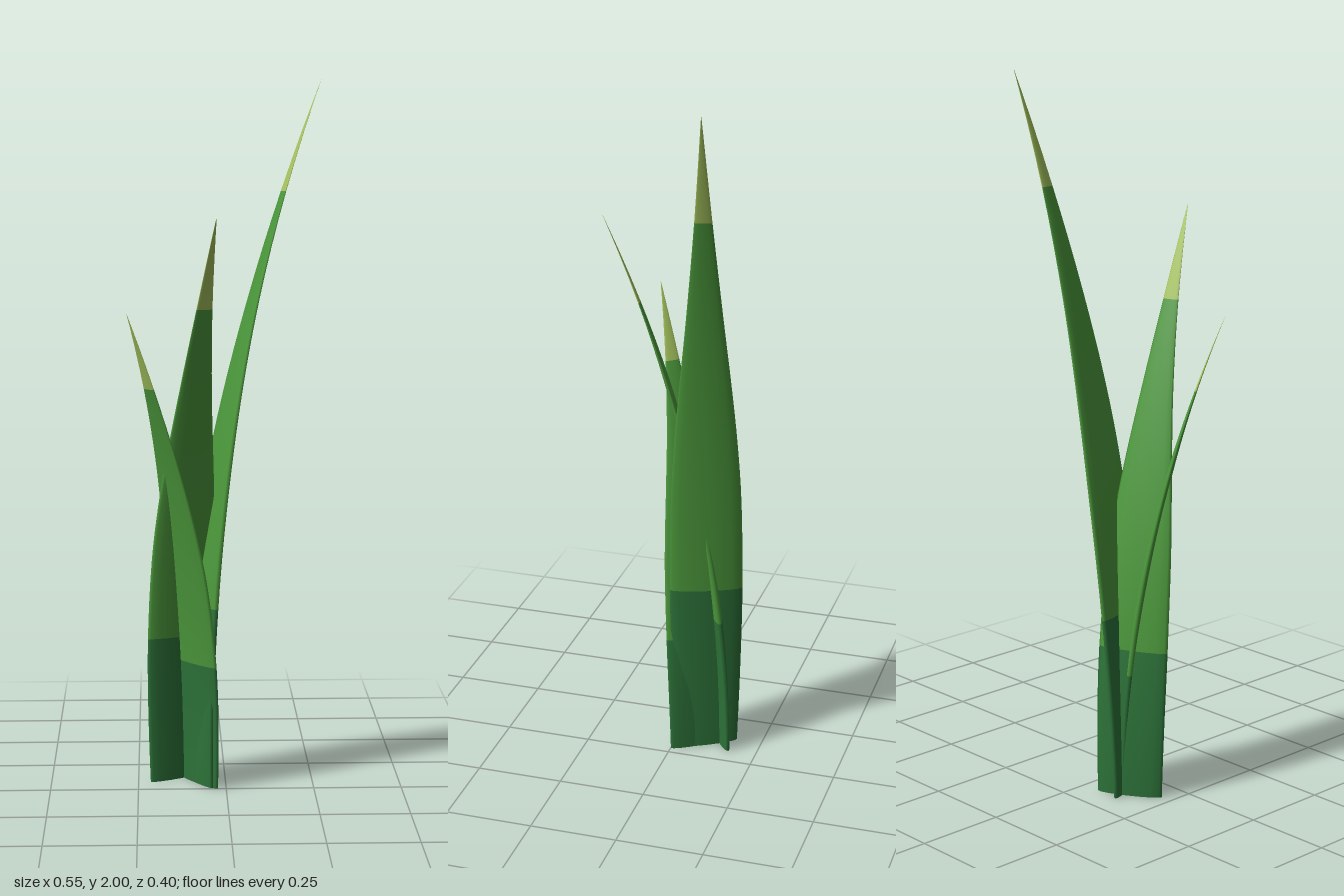
import * as THREE from 'three';

const material = (name, color) => {
  const m = new THREE.MeshStandardMaterial({ color });
  m.name = name;
  return m;
};

// Half width of a blade along its height: (height fraction, half width)
const profile = new THREE.SplineCurve([
  [0, 0.096], [0.13, 0.102], [0.26, 0.105], [0.4, 0.1], [0.5, 0.088],
  [0.6, 0.07], [0.7, 0.05], [0.845, 0.024], [1, 0.0005],
].map(([t, w]) => new THREE.Vector2(t, w)));
const SEGMENTS = 8, STEPS = 4, SIDES = 16;
const SHEATH_ROW = 2 * STEPS, TIP_ROW = 7 * STEPS, ROWS = SEGMENTS * STEPS;

// A lens-shaped blade that bends outward from its base to its tip
function createBlade(name, materials, { base, tip, height, scale, twist }) {
  const dx = tip[0] - base[0], dz = tip[1] - base[1];
  const facing = Math.atan2(dz, dx) + Math.PI / 2;
  const positions = [], index = [];

  for (let i = 0; i <= ROWS; i++) {
    const { x: t, y: w } = profile.getPoint(i / ROWS);
    const bend = Math.pow(Math.max(t, 0), 2.1);
    const angle = facing + THREE.MathUtils.degToRad(twist) * (1 - t) ** 2;
    const c = Math.cos(angle), s = Math.sin(angle);
    for (let j = 0; j < SIDES; j++) {
      const a = (j / SIDES) * Math.PI * 2;
      const u = Math.cos(a) * w * scale;
      const v = Math.sin(a) * w * scale * 0.16;
      positions.push(base[0] + dx * bend + u * c - v * s, t * height, base[1] + dz * bend + u * s + v * c);
    }
  }
  // Separate ring and centre for the flat bottom
  const ring = positions.length / 3;
  positions.push(...positions.slice(0, SIDES * 3), base[0], 0, base[1]);
  for (let j = 0; j < SIDES; j++) index.push(ring + SIDES, ring + j, ring + ((j + 1) % SIDES));

  for (let i = 0; i < ROWS; i++) {
    for (let j = 0; j < SIDES; j++) {
      const k = (j + 1) % SIDES;
      const a = i * SIDES + j, b = i * SIDES + k;
      index.push(a, a + SIDES, b, b, a + SIDES, b + SIDES);
    }
  }

  const geometry = new THREE.BufferGeometry();
  geometry.setAttribute('position', new THREE.Float32BufferAttribute(positions, 3));
  geometry.setIndex(index);
  geometry.computeVertexNormals();

  // Dark sheath, green middle, pale tip
  const rowStart = (row) => SIDES * 3 + row * SIDES * 6;
  geometry.addGroup(0, rowStart(SHEATH_ROW), 0);
  geometry.addGroup(rowStart(SHEATH_ROW), rowStart(TIP_ROW) - rowStart(SHEATH_ROW), 1);
  geometry.addGroup(rowStart(TIP_ROW), rowStart(ROWS) - rowStart(TIP_ROW), 2);

  const mesh = new THREE.Mesh(geometry, materials);
  mesh.name = name;
  return mesh;
}

export function createModel() {
  const group = new THREE.Group();
  group.name = 'grassTuft';
  const materials = [
    material('sheathGreen', 0x2d7339),
    material('leafGreen', 0x4c993c),
    material('paleTip', 0xa6c45e),
  ];

  group.add(
    createBlade('tallBlade', materials,
      { base: [-0.085, -0.09], tip: [0.272, -0.168], height: 2, scale: 1, twist: -17 }),
    createBlade('middleBlade', materials,
      { base: [-0.135, -0.12], tip: [-0.032, 0.2], height: 1.63, scale: 0.97, twist: -13 }),
    createBlade('shortBlade', materials,
      { base: [-0.075, -0.07], tip: [-0.274, 0.106], height: 1.365, scale: 0.9, twist: 5 }),
  );
  return group;
}
